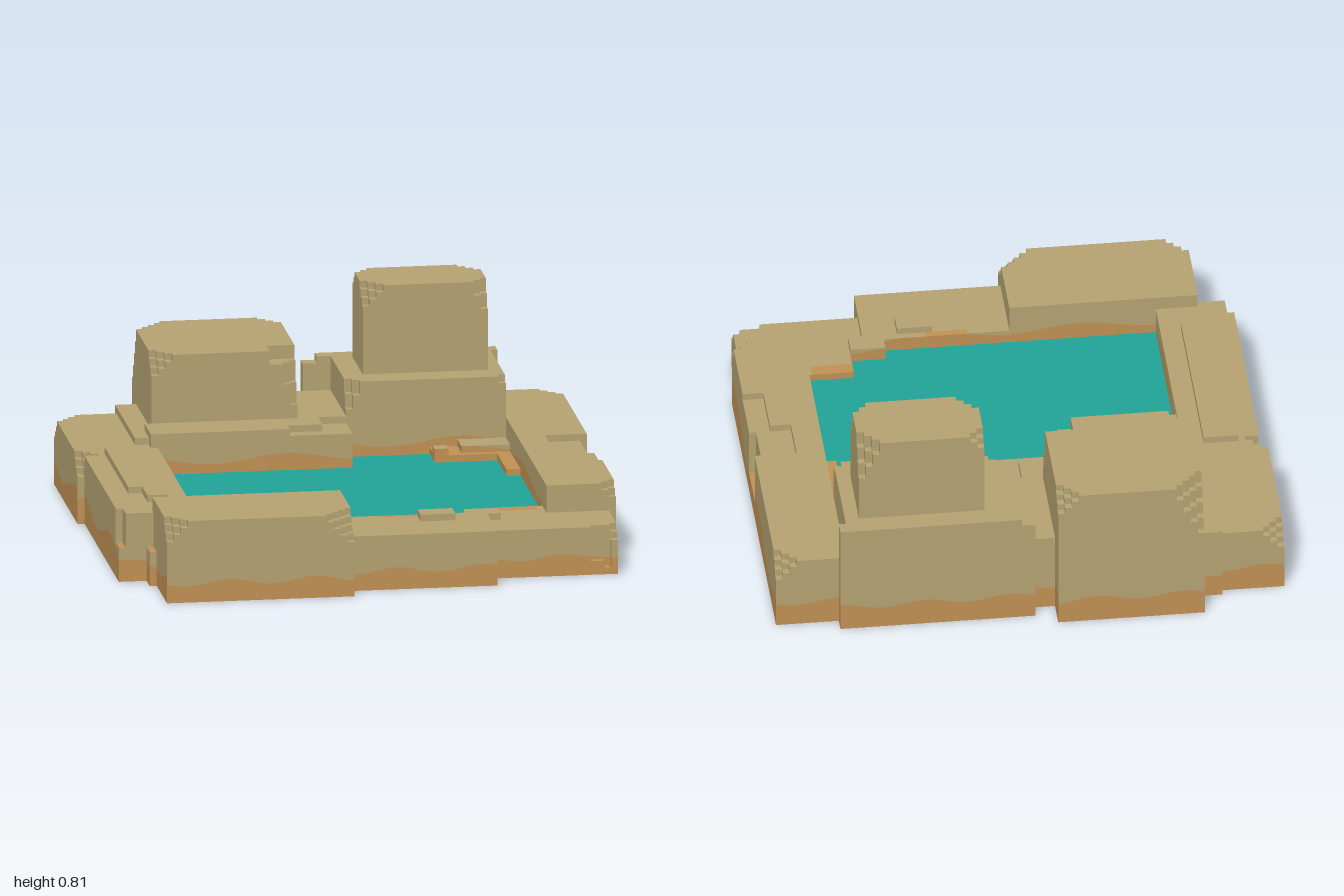
import * as THREE from 'three';

// The rock pool is a field of square columns; lengths below are counted in columns.
const NX = 73, NZ = 74, S = 2 / 74;
const material = (name, color) => new THREE.MeshStandardMaterial({ name, color });

// Fills the column grid: each cell knows its part, height and whether its top is clay
function fillColumns() {
  const cells = new Map();
  const block = (part, x0, x1, z0, z1, h, clay = false) => {
    for (let i = x0; i < x1; i++)
      for (let k = z0; k < z1; k++) cells.set(i + k * NX, { part, h, clay });
  };
  // wears a corner down in steps, going inwards from cell (x, z) along (sx, sz)
  const chip = (x, z, sx, sz, size, drop) => {
    for (let a = 0; a < size; a++)
      for (let b = 0; a + b < size; b++) {
        const cell = cells.get(x + sx * a + (z + sz * b) * NX);
        cell.h -= drop * (size - a - b);
      }
  };

  block('water', 12, 63, 19, 60, 6);

  // left wall with its raised strip
  block('leftWall', 0, 12, 5, 28, 10);
  block('leftWall', 1, 12, 28, 61, 10);
  block('leftWall', 5, 12, 61, 64, 10);
  block('leftWall', 4, 9, 27, 50, 11);
  block('leftWall', 6, 9, 50, 55, 11);
  block('leftWall', 9, 12, 4, 23, 11);
  block('leftWall', 1, 2, 58, 61, 5, true);
  block('leftWall', 5, 6, 61, 64, 5, true);
  chip(0, 5, 1, 1, 3, 1);
  chip(0, 27, 1, -1, 3, 1);

  // shelf behind the pool and the gap between the towers
  block('backShelf', 11, 40, 19, 25, 12);
  block('backShelf', 33, 40, 4, 19, 12);
  block('backShelf', 31, 40, 23, 25, 11);
  block('backShelf', 36, 40, 19, 23, 11);

  // right wall with a sunken patch and an outer recess
  block('rightWall', 63, 73, 4, 58, 11);
  block('rightWall', 67, 72, 30, 37, 10);
  block('rightWall', 72, 73, 30, 37, 3, true);
  block('rightWall', 70, 73, 37, 45, 10);
  chip(72, 4, -1, 1, 3, 1);
  chip(72, 57, -1, -1, 2, 1);

  // low front wall, stepping in at the right
  block('frontWall', 33, 54, 60, 71, 8);
  block('frontWall', 54, 72, 58, 67, 7);
  block('frontWall', 51, 56, 58, 61, 8);
  block('frontWall', 56, 63, 54, 58, 7);
  block('frontWall', 56, 62, 54, 56, 7, true);
  block('frontWall', 39, 45, 60, 61, 8, true);
  block('frontWall', 44, 49, 61, 64, 9);
  block('frontWall', 68, 71, 66, 67, 2, true);
  chip(71, 66, -1, -1, 2, 1);

  block('frontLeftBlock', 6, 33, 60, 74, 12);
  chip(6, 73, 1, -1, 3, 1);
  chip(32, 73, -1, -1, 4, 1);

  block('wideTower', 12, 33, 0, 19, 22);
  block('wideTower', 29, 33, 16, 19, 20);
  chip(12, 0, 1, 1, 4, 2);
  chip(32, 0, -1, 1, 3, 1);
  chip(12, 18, 1, -1, 3, 1);
  chip(32, 18, -1, -1, 2, 3);

  block('tallTowerBase', 36, 38, 2, 4, 16);
  block('tallTowerBase', 38, 64, 2, 4, 17);
  block('tallTowerBase', 40, 63, 4, 19, 17);
  chip(40, 18, 1, -1, 2, 2);
  chip(62, 18, -1, -1, 1, 1);

  block('tallTower', 43, 61, 5, 15, 30);
  chip(43, 14, 1, -1, 3, 1);
  chip(60, 14, -1, -1, 2, 2);
  chip(60, 5, -1, 1, 3, 2);
  chip(43, 5, 1, 1, 2, 1);

  // ledge in the back right corner of the pool
  block('poolLedge', 52, 56, 19, 24, 7, true);
  block('poolLedge', 56, 63, 19, 23, 8);
  block('poolLedge', 56, 63, 23, 24, 7, true);
  block('poolLedge', 52, 54, 22, 24, 8);
  block('poolLedge', 61, 63, 24, 33, 7, true);
  return cells;
}

// Height of the wavy clay layer on a wall
function clayLine(x, z, dx, inner) {
  const X = (x - NX / 2) * S, Z = (z - NZ / 2) * S;
  if (inner) return 7.9 + 0.6 * Math.sin(X * 11 + Z * 9);
  if (dx) return 3.7 + 1.3 * Math.cos((2 * Math.PI * (Z - 0.42)) / 0.72);
  return 2.8 + 0.45 * Math.sin(X * 19) + (Z < 0 ? 0.9 : 0);
}

function quad(out, a, b, c, d) {
  for (const [x, y, z] of [a, b, c, a, c, d])
    out.push((x - NX / 2) * S, y * S, (z - NZ / 2) * S);
}

function makeMesh(name, positions, mat) {
  const geometry = new THREE.BufferGeometry();
  geometry.setAttribute('position', new THREE.Float32BufferAttribute(positions, 3));
  geometry.computeVertexNormals();
  const mesh = new THREE.Mesh(geometry, mat);
  mesh.name = name;
  return mesh;
}

export function createModel() {
  const stone = material('sandstone', 0xb8a574);
  const clay = material('orange clay', 0xc49356);
  const water = material('teal water', 0x22a49a);
  const model = new THREE.Group();
  model.name = 'rockPool';

  const cells = fillColumns();
  const at = (i, k) => (i < 0 || i >= NX ? undefined : cells.get(i + k * NX));
  const faces = {};
  const underside = [];

  for (const [key, { part, h, clay: clayTop }] of cells) {
    const i = key % NX, k = Math.floor(key / NX);
    const out = (faces[part] ??= { main: [], low: [] });
    // top and bottom
    quad(clayTop ? out.low : out.main, [i, h, k], [i, h, k + 1], [i + 1, h, k + 1], [i + 1, h, k]);
    quad(underside, [i, 0, k], [i + 1, 0, k], [i + 1, 0, k + 1], [i, 0, k + 1]);
    // walls down to each lower neighbour, split along the clay line
    for (const [dx, dz] of [[1, 0], [-1, 0], [0, 1], [0, -1]]) {
      const next = at(i + dx, k + dz), lo = next ? next.h : 0;
      if (lo >= h) continue;
      const inner = next?.part === 'water' || next?.part === 'poolLedge';
      const cx = i + 0.5 + dx / 2, cz = k + 0.5 + dz / 2;
      const lx = cx - dz / 2, lz = cz + dx / 2, rx = cx + dz / 2, rz = cz - dx / 2;
      const wl = THREE.MathUtils.clamp(clayLine(lx, lz, dx, inner), lo, h);
      const wr = THREE.MathUtils.clamp(clayLine(rx, rz, dx, inner), lo, h);
      if (wl > lo || wr > lo) quad(out.low, [lx, lo, lz], [rx, lo, rz], [rx, wr, rz], [lx, wl, lz]);
      if (wl < h || wr < h) quad(out.main, [lx, wl, lz], [rx, wr, rz], [rx, h, rz], [lx, h, lz]);
    }
  }

  for (const [part, { main, low }] of Object.entries(faces)) {
    const group = new THREE.Group();
    group.name = part;
    group.add(makeMesh(part + 'Surface', main, part === 'water' ? water : stone));
    if (low.length) group.add(makeMesh(part + 'ClayLayer', low, clay));
    model.add(group);
  }
  model.add(makeMesh('underside', underside, clay));
  return model;
}
